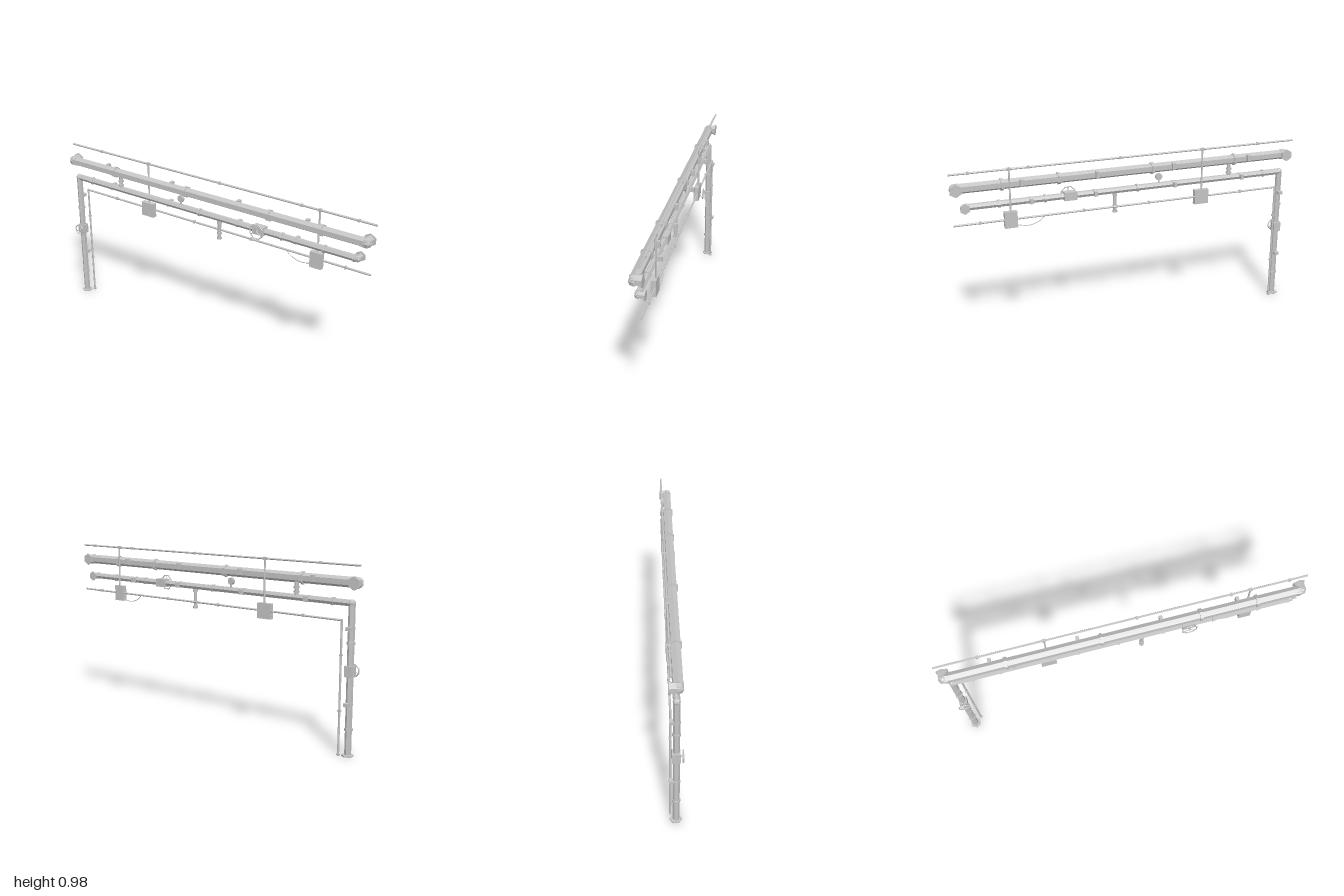
import * as THREE from 'three';

export function createModel() {
  const root = new THREE.Group();
  const steel = new THREE.MeshStandardMaterial({ color: 0xc4c4c4, flatShading: true });
  steel.name = 'light grey steel';
  const V = (x, y, z) => new THREE.Vector3(x, y, z);
  const WALL = -0.036;

  function add(name, geo, x = 0, y = 0, z = 0) {
    const m = new THREE.Mesh(geo, steel);
    m.name = name;
    m.position.set(x, y, z);
    root.add(m);
    return m;
  }
  const box = (name, w, h, d, x, y, z) => add(name, new THREE.BoxGeometry(w, h, d), x, y, z);

  // straight prism between two points, turned by spin about its own axis
  function rod(name, a, b, r, sides = 6, spin = 0) {
    const dir = b.clone().sub(a);
    const geo = new THREE.CylinderGeometry(r, r, dir.length(), sides);
    geo.rotateY(spin);
    const m = add(name, geo);
    m.position.copy(a).add(b).multiplyScalar(0.5);
    m.quaternion.setFromUnitVectors(V(0, 1, 0), dir.normalize());
    return m;
  }
  const ringX = (name, x, y, z, r, w, spin = 0) =>
    rod(name, V(x - w / 2, y, z), V(x + w / 2, y, z), r, 6, spin);
  const ringY = (name, x, y, z, r, w) =>
    rod(name, V(x, y - w / 2, z), V(x, y + w / 2, z), r);

  // end of a pipe turning back into the wall, with a rounded corner
  function wallElbow(name, x, y, z, r, flangeR) {
    add(name + 'Corner', new THREE.SphereGeometry(r * 1.1, 6, 4), x, y, z);
    rod(name + 'Elbow', V(x, y, z + r * 0.3), V(x, y, WALL), r * 1.05);
    rod(name + 'WallFlange', V(x, y, WALL + 0.007), V(x, y, WALL), flangeR);
  }

  // thick main pipe with its collars and wall clamps
  const MY = 0.882, MZ = 0.006, MR = 0.027, SP = Math.PI / 6;
  rod('mainPipe', V(-0.967, MY, MZ), V(0.967, MY, MZ), MR, 6, SP);
  for (const s of [-1, 1]) {
    wallElbow('mainPipe', s * 0.967, MY, MZ, MR, 0.035);
    ringX('mainEndCollar', s * 0.95, MY, MZ, 0.03, 0.014, SP);
  }
  for (const x of [-0.64, -0.13, 0.41, 0.72]) ringX('mainCollar', x, MY, MZ, 0.034, 0.016, SP);
  for (const x of [-0.72, -0.25, 0.2, 0.62])
    box('mainWallClamp', 0.018, 0.034, 0.024, x, MY + 0.006, WALL + 0.012);

  // thinner pipe: riser, corner and horizontal run
  const PX = -0.94, PY = 0.78, PR = 0.0175;
  rod('riserPipe', V(PX, 0, 0), V(PX, PY, 0), PR);
  rod('branchPipe', V(PX, PY, 0), V(0.925, PY, 0), PR);
  add('cornerElbow', new THREE.SphereGeometry(0.019, 8, 6), PX, PY, 0);
  ringY('riserFoot', PX, 0.004, -0.002, 0.031, 0.008);
  wallElbow('branchPipe', 0.925, PY, 0, PR, 0.028);
  ringX('branchEndCollar', 0.91, PY, 0, 0.021, 0.012);
  for (const y of [0.14, 0.58]) ringY('riserCollar', PX, y, 0, 0.022, 0.013);
  for (const x of [-0.83, -0.04, 0.49, 0.74])
    ringX('branchCollar', x, PY, 0, 0.022, 0.013);
  for (const y of [0.27, 0.655]) {
    ringY('riserClampRing', PX, y, 0, 0.02, 0.013);
    box('riserWallClamp', 0.026, 0.018, 0.026, PX, y, WALL + 0.013);
  }
  for (const x of [-0.68, -0.26, 0.21, 0.57]) {
    ringX('branchClampRing', x, PY, 0, 0.02, 0.013);
    box('branchWallClamp', 0.018, 0.026, 0.026, x, PY, WALL + 0.013);
  }

  // valves: body, spindle and spoked handwheel
  function valve(x, y, r, w, h) {
    box('valveBody', w, h, 0.042, x, y, -0.001);
    rod('valveSpindle', V(x, y, 0.015), V(x, y, 0.037), 0.005);
    add('handwheelRim', new THREE.TorusGeometry(r, 0.0035, 5, 8), x, y, 0.0335)
      .rotation.z = Math.PI / 8;
    for (let i = 0; i < 3; i++) {
      const a = Math.PI / 2 + (i * Math.PI * 2) / 3;
      rod('handwheelSpoke', V(x, y, 0.0335),
        V(x + r * Math.cos(a), y + r * Math.sin(a), 0.0335), 0.0025, 5);
    }
  }
  valve(PX, 0.438, 0.032, 0.044, 0.056);
  valve(0.35, PY, 0.042, 0.07, 0.046);

  // link between the two pipes
  rod('linkPipe', V(-0.607, PY, 0), V(-0.607, MY, 0), 0.011);
  for (const y of [0.808, 0.832]) ringY('linkCollar', -0.607, y, 0, 0.016, 0.009);

  // drain stub
  rod('drainPipe', V(0.092, PY, 0), V(0.092, 0.66, 0), 0.01);
  for (const y of [0.755, 0.69, 0.66]) ringY('drainCollar', 0.092, y, 0, 0.0135, 0.012);

  // pressure gauge
  rod('gaugeStem', V(-0.17, PY, 0), V(-0.17, 0.82, 0), 0.005);
  rod('gaugeDial', V(-0.17, 0.829, -0.006), V(-0.17, 0.829, 0.009), 0.02, 10);

  // conduits along the wall
  const CZ = -0.029, LY = 0.695, LX = -0.902;
  rod('upperConduit', V(-1, 0.97, CZ), V(1, 0.97, CZ), 0.0055);
  for (const x of [-0.77, 0.07, 0.58, 0.9])
    box('upperConduitClip', 0.012, 0.014, 0.014, x, 0.97, CZ);
  rod('lowerConduit', V(LX, LY, CZ), V(0.99, LY, CZ), 0.0055);
  rod('conduitDrop', V(LX, 0, CZ), V(LX, LY + 0.005, CZ), 0.0055);
  for (const x of [-0.67, -0.1, 0.28, 0.85])
    box('lowerConduitClip', 0.01, 0.016, 0.014, x, LY, CZ);
  for (const y of [0.008, 0.235, 0.52]) box('conduitDropClip', 0.016, 0.008, 0.014, LX, y, CZ);

  // junction boxes hung from the upper conduit
  for (const [x, w, h] of [[-0.422, 0.084, 0.083], [0.686, 0.069, 0.09]]) {
    box('junctionBox', w, h, 0.027, x, 0.693, -0.0225);
    rod('junctionRiser', V(x, 0.73, CZ), V(x, 0.97, CZ), 0.005);
    box('conduitTee', 0.018, 0.016, 0.014, x, 0.97, CZ);
  }

  // slack cable into the right-hand box
  const path = new THREE.CatmullRomCurve3([
    V(0.5, LY, CZ), V(0.53, 0.668, CZ), V(0.59, 0.65, CZ), V(0.655, 0.66, CZ)]);
  add('slackCable', new THREE.TubeGeometry(path, 12, 0.0025, 5));

  return root;
}
